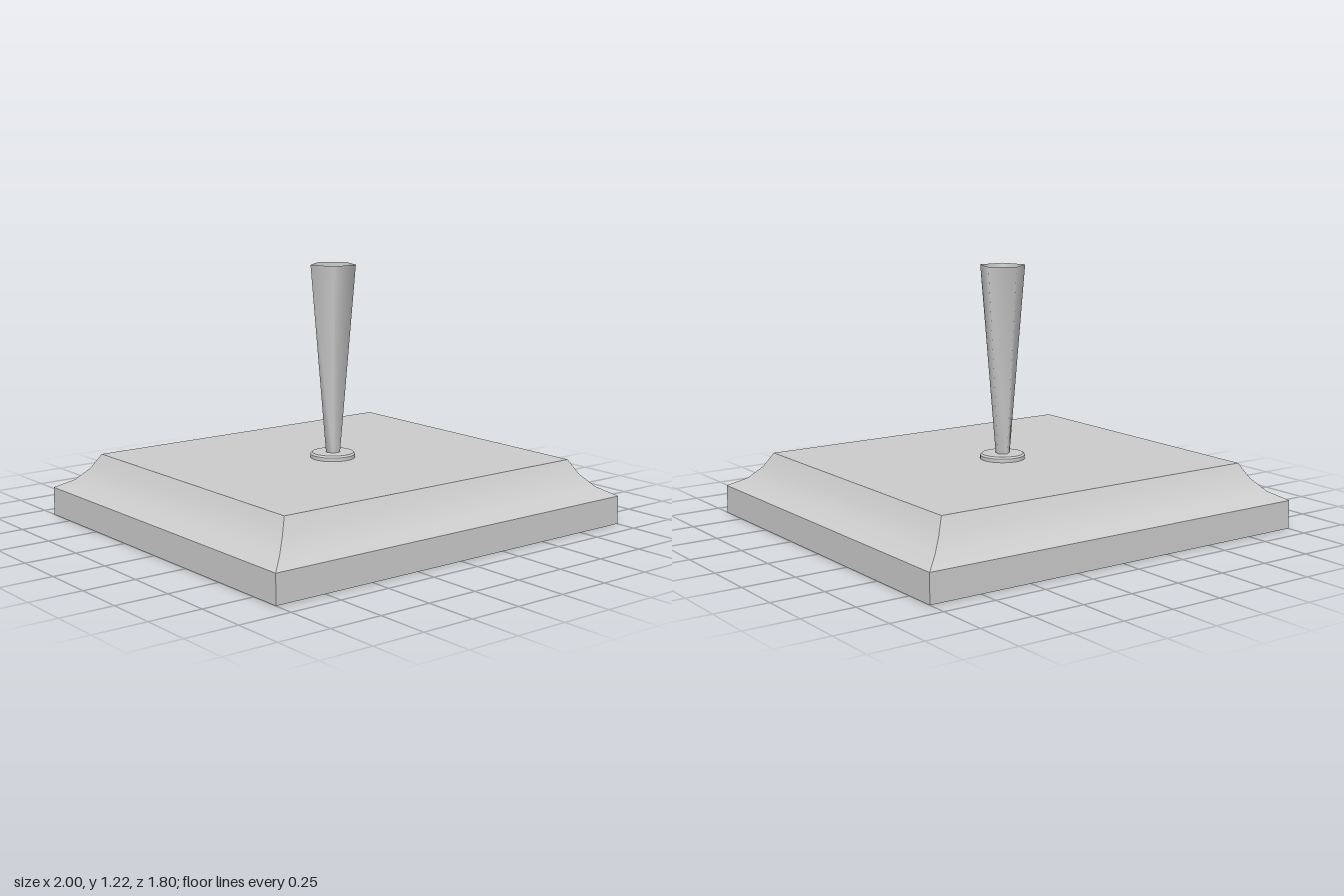
import * as THREE from 'three';
import { toCreasedNormals } from 'three/addons/utils/BufferGeometryUtils.js';

const material = new THREE.MeshStandardMaterial({ color: 0xcccccc });
const vec = (x, y) => new THREE.Vector2(x, y);

function addPart(group, name, geometry, crease) {
  const mesh = new THREE.Mesh(toCreasedNormals(geometry, crease), material);
  mesh.name = name;
  group.add(mesh);
}

// Rectangular plinth: each profile entry is [inset, height], mitred at the corners
function plinthGeometry(halfX, halfZ, profile) {
  const corners = [[1, 1], [1, -1], [-1, -1], [-1, 1]];
  const positions = [];
  const indices = [];
  for (const [inset, y] of profile) {
    for (const [sx, sz] of corners) positions.push(sx * (halfX - inset), y, sz * (halfZ - inset));
  }
  for (let r = 0; r < profile.length - 1; r++) {
    for (let i = 0; i < 4; i++) {
      const a = r * 4 + i, b = r * 4 + (i + 1) % 4;
      indices.push(a, b, b + 4, a, b + 4, a + 4);
    }
  }
  // Top and bottom faces
  const t = (profile.length - 1) * 4;
  indices.push(t, t + 1, t + 2, t, t + 2, t + 3);
  indices.push(0, 2, 1, 0, 3, 2);
  const geometry = new THREE.BufferGeometry();
  geometry.setAttribute('position', new THREE.Float32BufferAttribute(positions, 3));
  geometry.setIndex(indices);
  geometry.computeVertexNormals();
  return geometry;
}

export function createModel() {
  const group = new THREE.Group();
  group.name = 'penStand';

  // Base with a straight edge and a coved shoulder
  addPart(group, 'base', plinthGeometry(1, 0.9, [
    [0, 0], [0, 0.135], [0.075, 0.177], [0.13, 0.235], [0.17, 0.305],
  ]), 0.6);

  // Round collar at the foot of the holder
  addPart(group, 'collar', new THREE.LatheGeometry([
    vec(0.106, 0.3), vec(0.106, 0.322), vec(0.098, 0.33), vec(0, 0.33),
  ], 32), 0.6);

  // Five-sided flared holder with a hollow that narrows to a point
  addPart(group, 'holder', new THREE.LatheGeometry([
    vec(0.034, 0.32), vec(0.11, 1.22), vec(0, 0.36),
  ], 5, Math.PI), 1.35);

  return group;
}
